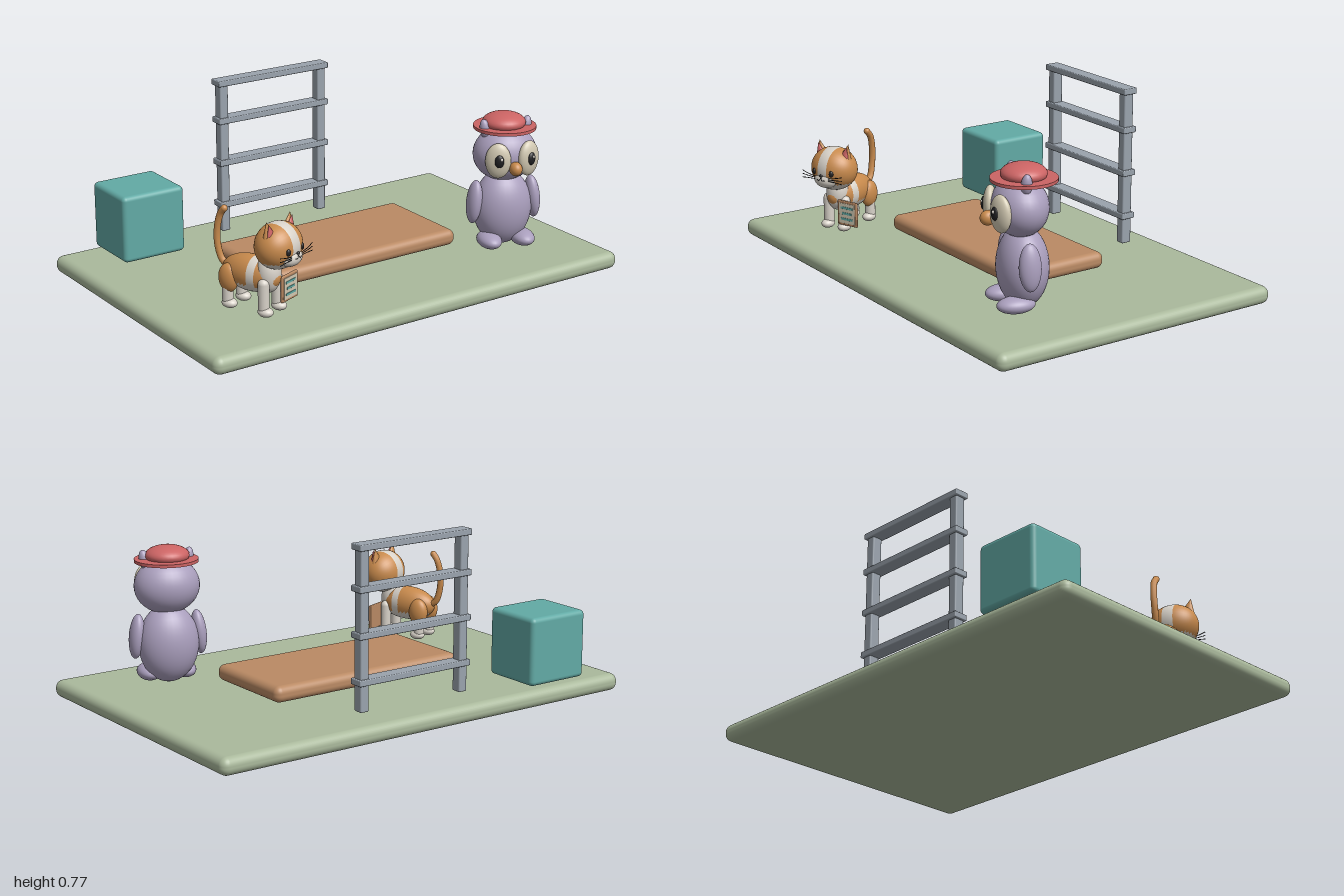
import * as THREE from 'three';
import { RoundedBoxGeometry } from 'three/addons/geometries/RoundedBoxGeometry.js';

const mat = (name, color) => {
  const m = new THREE.MeshStandardMaterial({ color });
  m.name = name;
  return m;
};

export function createModel() {
  const green = mat('sage green', 0xaab99c), wood = mat('mat brown', 0xba8a64);
  const teal = mat('teal', 0x62aaa5), steel = mat('steel grey', 0x9aa3ad);
  const lilac = mat('lilac', 0xaa9fbd), red = mat('coral red', 0xcc6464);
  const white = mat('warm white', 0xd8d2c9), cream = mat('cream', 0xd2c9b2);
  const orange = mat('orange', 0xc88a4c), black = mat('black', 0x202022);
  const root = new THREE.Group();
  root.name = 'playroom';

  const add = (parent, name, geo, material, pos = [0, 0, 0], rot = [0, 0, 0]) => {
    const m = new THREE.Mesh(geo, material);
    m.name = name;
    m.position.set(...pos);
    m.rotation.set(...rot);
    parent.add(m);
    return m;
  };
  const ball = (parent, name, r, material, pos, rot) =>
    add(parent, name, new THREE.SphereGeometry(1, 32, 20).scale(...r), material, pos, rot);
  const block = (parent, name, size, radius, material, pos, rot) =>
    add(parent, name, new RoundedBoxGeometry(...size, 4, radius), material, pos, rot);
  const tube = (parent, name, points, r, material) => {
    const curve = new THREE.CatmullRomCurve3(points.map(p => new THREE.Vector3(...p)));
    return add(parent, name, new THREE.TubeGeometry(curve, points.length * 6, r, 10), material);
  };
  // Sorts triangles into two material groups by their centre
  const twoTone = (geo, test) => {
    const src = geo.toNonIndexed(), p = src.attributes.position, lists = [[], []];
    for (let i = 0; i < p.count; i += 3) {
      const c = [0, 1, 2].map(k => (p.getComponent(i, k) + p.getComponent(i + 1, k) + p.getComponent(i + 2, k)) / 3);
      lists[test(...c) ? 1 : 0].push(i, i + 1, i + 2);
    }
    src.setIndex([...lists[0], ...lists[1]]);
    src.addGroup(0, lists[0].length, 0);
    src.addGroup(lists[0].length, lists[1].length, 1);
    return src;
  };

  // Floor, mat and block
  block(root, 'floor', [2, 0.075, 1.33], 0.034, green, [0, 0.0375, 0]);
  block(root, 'exerciseMat', [0.935, 0.07, 0.455], 0.03, wood, [-0.002, 0.12, -0.002]);
  block(root, 'cubeBlock', [0.29, 0.29, 0.27], 0.02, teal, [-0.67, 0.231, -0.505]);

  // Climbing frame
  const frame = new THREE.Group();
  frame.name = 'climbingFrame';
  frame.position.z = -0.5;
  root.add(frame);
  for (const x of [-0.255, 0.245]) block(frame, 'post', [0.04, 0.67, 0.046], 0.006, steel, [x, 0.422, 0]);
  for (const y of [0.21, 0.4, 0.588, 0.755]) block(frame, 'rung', [0.56, 0.026, 0.064], 0.004, steel, [-0.005, y, 0]);

  // Owl
  const owl = new THREE.Group();
  owl.name = 'owl';
  owl.position.set(0.64, 0, 0.313);
  owl.rotation.y = -0.3;
  root.add(owl);
  ball(owl, 'owlBody', [0.128, 0.165, 0.103], lilac, [0, 0.255, 0]);
  ball(owl, 'owlHead', [0.138, 0.118, 0.113], lilac, [0, 0.498, 0.012]);
  for (const s of [-1, 1]) {
    ball(owl, 'wing', [0.032, 0.095, 0.045], lilac, [s * 0.132, 0.29, 0.012], [0, 0, s * 0.1]);
    ball(owl, 'owlFoot', [0.05, 0.034, 0.078], lilac, [s * 0.075, 0.125, 0.05]);
    ball(owl, 'earTuft', [0.022, 0.045, 0.022], lilac, [s * 0.092, 0.608, 0.015], [0, 0, -s * 0.2]);
    ball(owl, 'eyeDisc', [0.054, 0.076, 0.028], cream, [s * 0.068, 0.496, 0.11], [0, s * 0.4, 0]);
    ball(owl, 'owlPupil', [0.02, 0.028, 0.012], black, [s * 0.072, 0.5, 0.134], [0, s * 0.4, 0]);
    ball(owl, 'eyeGlint', [0.006, 0.007, 0.005], white, [s * 0.072 + 0.006, 0.51, 0.144]);
  }
  ball(owl, 'beak', [0.027, 0.03, 0.032], orange, [0, 0.463, 0.14]);
  add(owl, 'hatBrim', new THREE.CylinderGeometry(0.133, 0.133, 0.013, 48), red, [0.004, 0.609, -0.004]);
  ball(owl, 'hatCrown', [0.092, 0.042, 0.092], red, [0, 0.629, -0.004]);

  // Cat
  const cat = new THREE.Group();
  cat.name = 'cat';
  cat.position.set(-0.635, 0, 0.335);
  cat.rotation.y = 0.37;
  root.add(cat);
  const bodyGeo = new THREE.SphereGeometry(1, 32, 24).rotateX(Math.PI / 2).scale(0.066, 0.075, 0.135);
  add(cat, 'catBody', twoTone(bodyGeo, (x, y, z) => y < -0.035 || (z > 0.017 && z < 0.052)), [orange, white], [0, 0.24, 0]);
  ball(cat, 'chest', [0.05, 0.08, 0.05], white, [0, 0.255, 0.083]);
  for (const s of [-1, 1]) {
    for (const z of [-0.085, 0.09]) {
      add(cat, 'catLeg', new THREE.CapsuleGeometry(0.023, 0.1, 6, 16), white, [s * 0.045, 0.173, z]);
      ball(cat, 'paw', [0.027, 0.02, 0.034], white, [s * 0.045, 0.109, z + 0.008]);
    }
    ball(cat, 'haunch', [0.031, 0.06, 0.045], orange, [s * 0.045, 0.215, -0.08]);
  }
  tube(cat, 'tail', [[0, 0.24, -0.11], [0, 0.265, -0.145], [-0.002, 0.33, -0.165], [0, 0.4, -0.165],
    [0.002, 0.455, -0.15], [0, 0.48, -0.13]], 0.014, orange);
  ball(cat, 'tailTip', [0.014, 0.014, 0.014], orange, [0, 0.48, -0.13]);

  // Cat head, with a white blaze over the crown
  const head = new THREE.Group();
  head.name = 'catHead';
  head.position.set(0.015, 0.375, 0.12);
  cat.add(head);
  const skullGeo = new THREE.SphereGeometry(1, 36, 28).rotateZ(Math.PI / 2).scale(0.106, 0.095, 0.09);
  add(head, 'skull', twoTone(skullGeo, (x, y) => Math.abs(x) < 0.022 || y < -0.055), [orange, white]);
  ball(head, 'muzzle', [0.056, 0.036, 0.04], white, [0, -0.038, 0.058]);
  ball(head, 'nose', [0.008, 0.006, 0.006], black, [0, -0.014, 0.094]);
  for (const s of [-1, 1]) {
    const earRot = [0, 0, -s * 0.25];
    const earGeo = new THREE.ConeGeometry(0.033, 0.07, 20).scale(1, 1, 0.6);
    add(head, 'ear', earGeo, orange, [s * 0.07, 0.082, 0], earRot);
    add(head, 'innerEar', earGeo.clone().scale(0.7, 0.8, 0.7), red, [s * 0.07, 0.08, 0.011], earRot);
    ball(head, 'catEye', [0.01, 0.014, 0.007], black, [s * 0.046, -0.002, 0.081], [0, s * 0.5, 0]);
    tube(head, 'mouth', [[0, -0.022, 0.094], [s * 0.008, -0.034, 0.097], [s * 0.02, -0.032, 0.094]], 0.0018, black);
    for (const k of [-1, 0, 1])
      tube(head, 'whisker', [[s * 0.035, -0.027 + k * 0.006, 0.088], [s * 0.075, -0.024 + k * 0.01, 0.088],
        [s * 0.108, -0.022 + k * 0.016, 0.084]], 0.0016, black);
  }

  // Hanging card with printed lines
  const card = new THREE.Group();
  card.name = 'card';
  card.position.set(0.083, 0.18, 0.12);
  cat.add(card);
  block(card, 'cardBacking', [0.104, 0.11, 0.012], 0.004, wood);
  block(card, 'cardFace', [0.084, 0.09, 0.004], 0.001, cream, [0, 0, 0.006]);
  [0.025, 0, -0.025].forEach((y, i) =>
    block(card, 'cardLine', [i === 1 ? 0.05 : 0.064, 0.01, 0.004], 0.001, teal, [0, y, 0.008]));

  return root;
}
